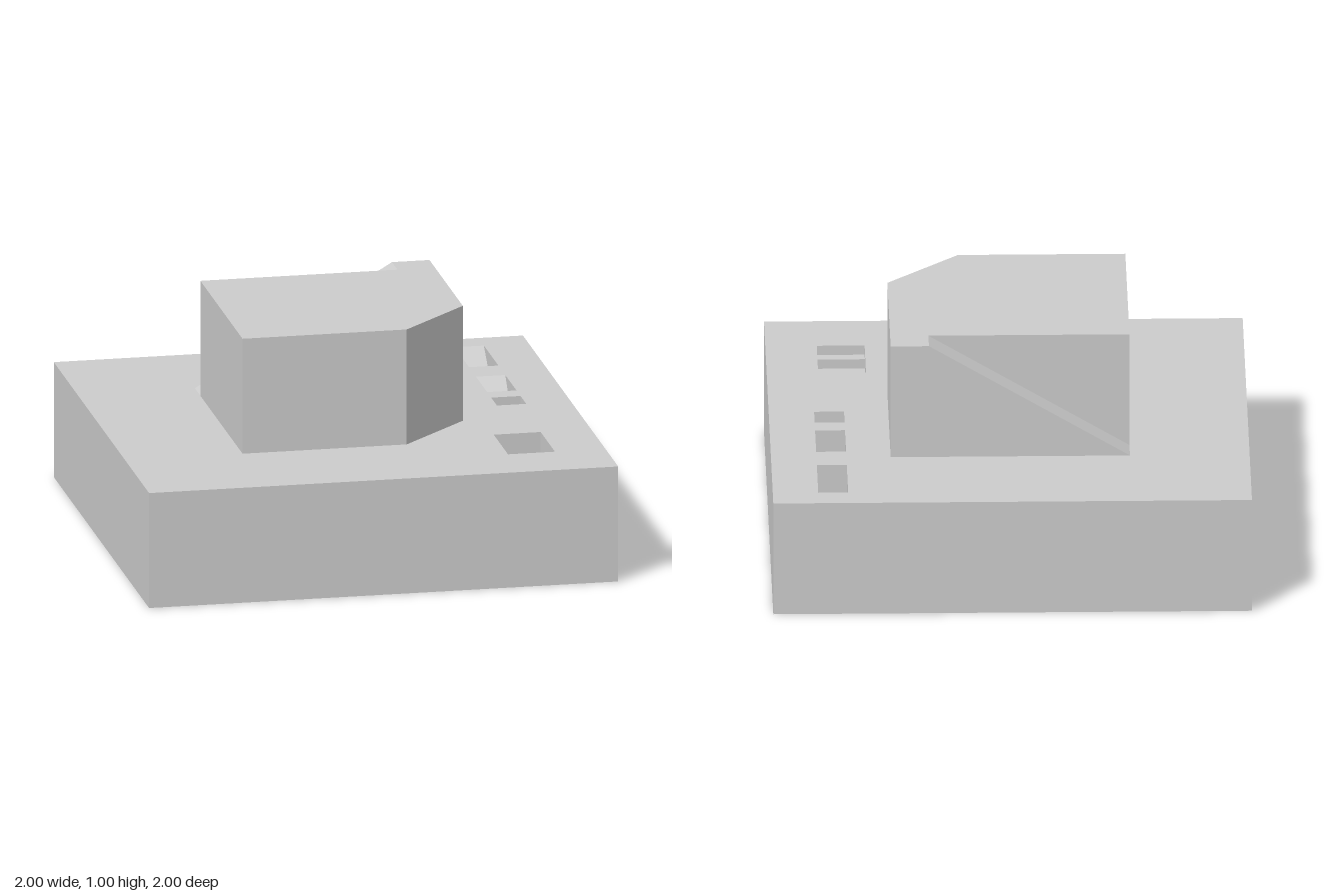
import * as THREE from 'three';
import { mergeGeometries } from 'three/addons/utils/BufferGeometryUtils.js';

const material = new THREE.MeshStandardMaterial({ color: 0xcccccc, flatShading: true, side: THREE.DoubleSide });
const PLATE = 0.5, TOP = 1, PIT = 0.25;

// Convex polygon from corners listed counter-clockwise as seen from its front
function face(...p) {
  const pos = [];
  for (let i = 1; i < p.length - 1; i++) pos.push(...p[0], ...p[i], ...p[i + 1]);
  const g = new THREE.BufferGeometry();
  g.setAttribute('position', new THREE.Float32BufferAttribute(pos, 3));
  g.computeVertexNormals();
  return g;
}

// Flat shape from 2D points, as plain triangles
function flat(points, holes = []) {
  const toPath = (pts, C) => new C(pts.map(([a, b]) => new THREE.Vector2(a, b)));
  const s = toPath(points, THREE.Shape);
  s.holes = holes.map(h => toPath(h, THREE.Path));
  const g = new THREE.ShapeGeometry(s).toNonIndexed();
  g.deleteAttribute('uv');
  return g;
}

// Horizontal sheet from [x, z] points
function sheet(points, y, holes = []) {
  const flip = pts => pts.map(([x, z]) => [x, -z]);
  return flat(flip(points), holes.map(flip)).rotateX(-Math.PI / 2).translate(0, y, 0);
}

// Upright wall over the line a-b ([x, z] each)
const wall = (a, b, y0, y1) =>
  face([a[0], y0, a[1]], [b[0], y0, b[1]], [b[0], y1, b[1]], [a[0], y1, a[1]]);

const rect = (x0, x1, z0, z1) => [[x0, z1], [x1, z1], [x1, z0], [x0, z0]];

function part(name, geometries) {
  const mesh = new THREE.Mesh(mergeGeometries(geometries), material);
  mesh.name = name;
  return mesh;
}

// Sunken pit: a floor line of [z, y] points swept from x0 to x1, with two side walls
function pit(name, x0, x1, line) {
  const parts = [];
  for (let i = 0; i < line.length - 1; i++) {
    const [za, ya] = line[i], [zb, yb] = line[i + 1];
    parts.push(face([x0, ya, za], [x0, yb, zb], [x1, yb, zb], [x1, ya, za]));
  }
  for (const x of [x0, x1]) parts.push(flat(line).rotateY(-Math.PI / 2).translate(x, 0, 0));
  return part(name, parts);
}

export function createModel() {
  const group = new THREE.Group();
  const floor = PLATE - PIT;
  const outer = rect(-1, 1, -1, 1);
  const footprint = [[-0.5, 0.5], [0.2, 0.5], [0.5, 0.2], [0.5, -0.5], [-0.5, -0.5]];

  // Floor lines of the pits, from back to front
  const stairLine = [[0.43, PLATE], [0.43, floor]];
  for (let i = 1; i <= 6; i++) {
    const z = 0.43 + 0.05 * i;
    stairLine.push([z, floor + (i - 1) * PIT / 6], [z, floor + i * PIT / 6]);
  }
  const pits = [
    ['longRampPit', 0.685, 0.81, [[-0.885, PLATE], [-0.58, floor], [-0.58, PLATE]]],
    ['shortRampPit', 0.685, 0.81, [[-0.435, PLATE], [-0.2, floor], [-0.2, PLATE]]],
    ['squarePit', 0.685, 0.81, [[-0.115, PLATE], [-0.115, floor], [0.005, floor], [0.005, PLATE]]],
    ['sunkenStairs', 0.585, 0.785, stairLine],
  ];
  pits.forEach(p => group.add(pit(...p)));

  // Open-bottomed base and its pierced top
  group.add(part('baseWalls', outer.map((a, i) => wall(a, outer[(i + 1) % 4], 0, PLATE))));
  const pitHoles = pits.map(([, x0, x1, line]) => rect(x0, x1, line[0][0], line[line.length - 1][0]));
  group.add(part('baseTop', [sheet(outer, PLATE, [footprint, ...pitHoles])]));

  // Hollow block with a chamfered corner, cut away behind for the ramp
  const rampX = 0.34, rampZ = -0.385;
  const blockTop = [[-0.5, 0.5], [0.2, 0.5], [0.5, 0.2], [0.5, -0.5], [rampX, -0.5], [rampX, rampZ], [-0.5, rampZ]];
  const blockWalls = [0, 1, 2].map(i => wall(blockTop[i], blockTop[i + 1], PLATE, TOP));
  blockWalls.push(wall(blockTop[6], blockTop[0], PLATE, TOP));
  group.add(part('blockWalls', blockWalls));
  group.add(part('blockTop', [sheet(blockTop, TOP)]));

  // Ramp up the back of the block
  group.add(part('ramp', [
    face([-0.5, PLATE, -0.5], [-0.5, PLATE, rampZ], [rampX, TOP, rampZ], [rampX, TOP, -0.5]),
    face([0.5, PLATE, -0.5], [-0.5, PLATE, -0.5], [rampX, TOP, -0.5], [0.5, TOP, -0.5]),
    face([-0.5, PLATE, rampZ], [-0.5, TOP, rampZ], [rampX, TOP, rampZ]),
  ]));
  return group;
}
